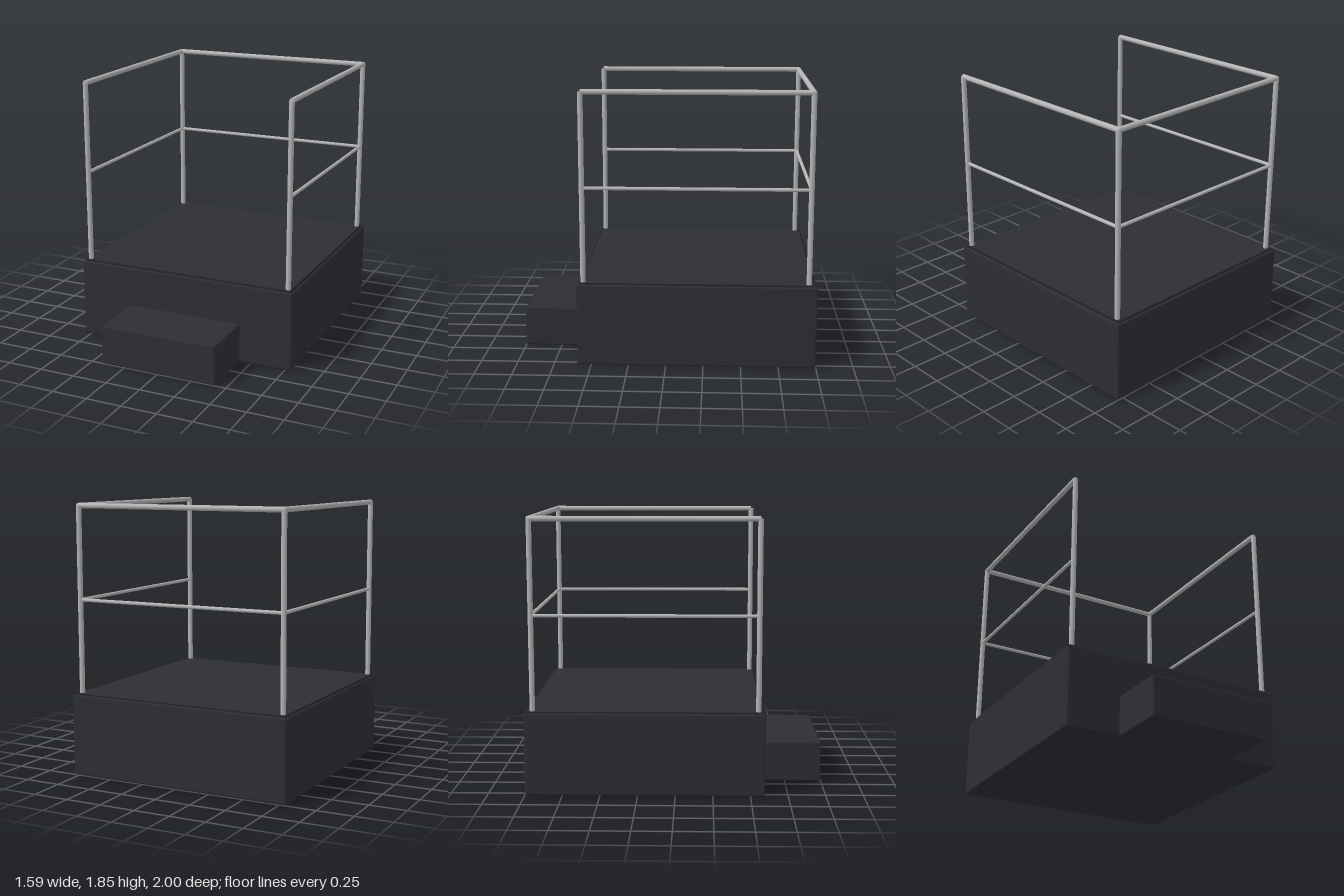
import * as THREE from 'three';
import { RoundedBoxGeometry } from 'three/addons/geometries/RoundedBoxGeometry.js';

export function createModel() {
  const model = new THREE.Group();
  model.name = 'platform';
  const mat = (name, color) => {
    const m = new THREE.MeshStandardMaterial({ color });
    m.name = name;
    return m;
  };
  const charcoal = mat('charcoal', 0x2d2d35);
  const edging = mat('dark edging', 0x1e1f24);
  const steel = mat('light steel', 0xb4b4b4);

  const add = (name, geometry, material, x, y, z) => {
    const mesh = new THREE.Mesh(geometry, material);
    mesh.name = name;
    mesh.position.set(x, y, z);
    model.add(mesh);
    return mesh;
  };

  // Base block and entry step, both with softened edges
  const W = 1.59, D = 1.595, midZ = -0.2025;
  add('base', new RoundedBoxGeometry(W, 0.555, D, 2, 0.012), charcoal, 0, 0.2775, midZ);
  add('step', new RoundedBoxGeometry(0.84, 0.276, 0.42, 2, 0.012), charcoal, 0, 0.138, 0.79);

  // Chamfered rim: a box whose upper face is drawn in
  const rim = new THREE.BoxGeometry(W, 0.02, D).toNonIndexed();
  const p = rim.attributes.position;
  for (let i = 0; i < p.count; i++) {
    if (p.getY(i) > 0) {
      p.setX(i, p.getX(i) - Math.sign(p.getX(i)) * 0.02);
      p.setZ(i, p.getZ(i) - Math.sign(p.getZ(i)) * 0.02);
    }
  }
  rim.computeVertexNormals();
  add('rim', rim, edging, 0, 0.553, midZ);
  add('deck', new THREE.BoxGeometry(W - 0.05, 0.004, D - 0.05), charcoal, 0, 0.563, midZ);

  // Round bar between two points
  const bar = (name, a, b, r) => {
    const from = new THREE.Vector3(...a), to = new THREE.Vector3(...b);
    const dir = to.clone().sub(from);
    const mid = from.clone().add(to).multiplyScalar(0.5);
    const mesh = add(name, new THREE.CylinderGeometry(r, r, dir.length(), 16), steel, mid.x, mid.y, mid.z);
    mesh.quaternion.setFromUnitVectors(new THREE.Vector3(0, 1, 0), dir.normalize());
  };

  // Guard rail on three sides, open at the front
  const X = 0.75, back = -0.945, front = 0.55, top = 1.83;
  for (const [side, x] of [['left', X], ['right', -X]]) {
    bar(side + 'FrontPost', [x, 0.55, front], [x, top, front], 0.018);
    bar(side + 'BackPost', [x, 0.55, back], [x, top, back], 0.018);
    add(side + 'CornerJoint', new THREE.SphereGeometry(0.018, 16, 12), steel, x, top, back);
  }
  for (const [level, y, r] of [['top', top, 0.018], ['middle', 1.2, 0.012]]) {
    bar(level + 'BackRail', [-X, y, back], [X, y, back], r);
    bar(level + 'LeftRail', [X, y, back], [X, y, front], r);
    bar(level + 'RightRail', [-X, y, back], [-X, y, front], r);
  }
  return model;
}
